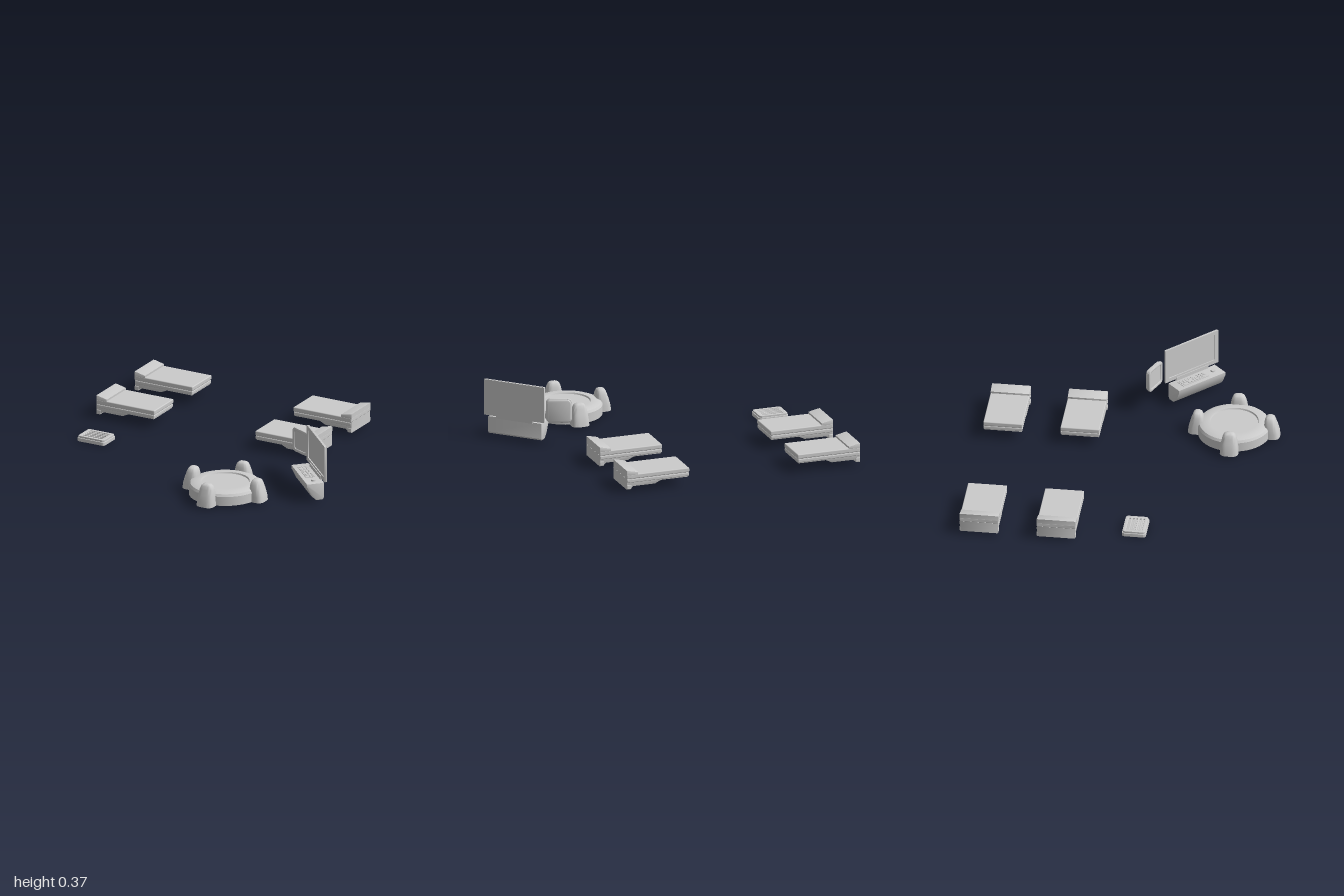
import * as THREE from 'three';
import { toCreasedNormals } from 'three/addons/utils/BufferGeometryUtils.js';
import { RoundedBoxGeometry } from 'three/addons/geometries/RoundedBoxGeometry.js';

const grey = new THREE.MeshStandardMaterial({ color: 0xcccccc });

function add(parent, name, geometry, x = 0, y = 0, z = 0) {
  const mesh = new THREE.Mesh(geometry, grey);
  mesh.name = name;
  mesh.position.set(x, y, z);
  parent.add(mesh);
  return mesh;
}

function group(parent, name, x, z, turn = 0) {
  const g = new THREE.Group();
  g.name = name;
  g.position.set(x, 0, z);
  g.rotation.y = turn;
  parent.add(g);
  return g;
}

// Rounded rectangle outline, used for shapes and holes
function roundRect(w, h, r, cx = 0, cy = 0, Type = THREE.Shape) {
  const s = new Type(), x = w / 2 - r, y = h / 2 - r;
  s.absarc(cx + x, cy + y, r, 0, Math.PI / 2);
  s.absarc(cx - x, cy + y, r, Math.PI / 2, Math.PI);
  s.absarc(cx - x, cy - y, r, Math.PI, Math.PI * 1.5);
  s.absarc(cx + x, cy - y, r, Math.PI * 1.5, Math.PI * 2);
  s.closePath();
  return s;
}

// Extrusion centred on its depth, with an optional bevel kept inside the depth
function extrude(shape, depth, bevel = 0) {
  const g = new THREE.ExtrudeGeometry(shape, {
    depth: depth - 2 * bevel, bevelEnabled: bevel > 0, bevelSize: bevel,
    bevelThickness: bevel, bevelOffset: -bevel, bevelSegments: 2, curveSegments: 8,
  });
  g.translate(0, 0, -depth / 2 + bevel);
  return toCreasedNormals(g, 0.6);
}

const polygon = (points) => new THREE.Shape(points.map(([x, y]) => new THREE.Vector2(x, y)));

// Bed with its head at local -x
function buildBed(parent, x, z, turn) {
  const bed = group(parent, 'bed', x, z, turn);
  add(bed, 'mattress', new RoundedBoxGeometry(0.415, 0.028, 0.245, 2, 0.006), 0, 0.104, 0);
  add(bed, 'bedFrame', extrude(polygon([
    [-0.207, 0.021], [-0.185, 0.021], [-0.165, 0.04], [-0.02, 0.04],
    [0.02, 0.059], [0.2, 0.059], [0.203, 0.092], [-0.207, 0.092],
  ]), 0.238, 0.003));
  add(bed, 'frameRail', new RoundedBoxGeometry(0.41, 0.022, 0.244, 2, 0.005), 0, 0.076, 0);
  add(bed, 'headFoot', new RoundedBoxGeometry(0.03, 0.03, 0.244, 2, 0.005), -0.192, 0.037, 0);
  add(bed, 'headrest', extrude(polygon([
    [-0.207, 0.112], [-0.132, 0.112], [-0.132, 0.13], [-0.195, 0.145], [-0.207, 0.145],
  ]), 0.244, 0.003));
}

// Round platform with four leaning pylons
function buildPlatform(parent) {
  const platform = group(parent, 'platform', 0.377, 0.627);
  const profile = [
    [0, 0.016], [0.226, 0.016], [0.226, 0.075], [0.217, 0.09], [0.19, 0.101],
    [0.152, 0.101], [0.148, 0.092], [0, 0.092],
  ].map(([r, y]) => new THREE.Vector2(r, y));
  add(platform, 'platformBase', toCreasedNormals(new THREE.LatheGeometry(profile, 64), 0.4));

  // Height, inner reach, outer reach and half width of each section
  const sections = [
    [0.015, 0.185, 0.288, 0.058], [0.05, 0.185, 0.284, 0.056],
    [0.09, 0.188, 0.273, 0.051], [0.122, 0.192, 0.262, 0.044],
    [0.142, 0.199, 0.255, 0.036], [0.151, 0.206, 0.248, 0.027],
    [0.155, 0.217, 0.238, 0.013],
  ];
  const n = sections.length - 1;
  const g = new THREE.CylinderGeometry(1, 1, 1, 32, n);
  const p = g.attributes.position;
  const square = (v) => Math.sign(v) * Math.abs(v) ** 0.65;
  for (let i = 0; i < p.count; i++) {
    const [y, inner, outer, half] = sections[Math.round((p.getY(i) + 0.5) * n)];
    p.setXYZ(i, (inner + outer) / 2 + square(p.getX(i)) * (outer - inner) / 2, y, square(p.getZ(i)) * half);
  }
  const pylon = toCreasedNormals(g, 1);
  for (let k = 0; k < 4; k++) add(platform, 'pylon', pylon).rotation.y = k * Math.PI / 2;
}

// Angled desk with a tall screen along its back edge
function buildConsole(parent) {
  const desk = group(parent, 'console', 0.802, 0.338, -Math.PI / 4);
  const body = extrude(polygon([
    [-0.055, 0.03], [-0.045, 0.018], [-0.005, 0.018], [0.025, 0.045],
    [0.055, 0.108], [0.055, 0.128], [-0.055, 0.13],
  ]), 0.365, 0.004);
  body.rotateY(-Math.PI / 2);
  add(desk, 'deskBody', body);

  add(desk, 'screenMount', new THREE.BoxGeometry(0.25, 0.03, 0.012), 0, 0.138, -0.053);
  add(desk, 'screenBack', new THREE.BoxGeometry(0.41, 0.232, 0.008), 0, 0.257, -0.063);
  const frame = roundRect(0.414, 0.234, 0.004);
  frame.holes.push(roundRect(0.362, 0.182, 0.004, 0, 0, THREE.Path));
  add(desk, 'screenFrame', extrude(frame, 0.008), 0, 0.257, -0.056);

  // Keypad in rows, with a few gaps, and one round knob
  add(desk, 'keypad', new THREE.BoxGeometry(0.2, 0.004, 0.058), -0.03, 0.13, 0);
  const key = new THREE.BoxGeometry(0.014, 0.006, 0.01);
  for (let row = 0; row < 3; row++) {
    for (let col = 0; col < 9; col++) {
      if ((col + 2 * row) % 7 === 5) continue;
      add(desk, 'key', key, -0.115 + col * 0.0212, 0.133, -0.018 + row * 0.018);
    }
  }
  add(desk, 'knob', new THREE.CylinderGeometry(0.014, 0.016, 0.01, 24), 0.128, 0.133, -0.003);
}

// Small rounded monitor floating beside the console
function buildMonitor(parent) {
  const monitor = group(parent, 'sideMonitor', 0.623, 0.095, -0.41);
  const frame = roundRect(0.162, 0.158, 0.028);
  frame.holes.push(roundRect(0.118, 0.118, 0.016, 0, 0, THREE.Path));
  add(monitor, 'monitorFrame', extrude(frame, 0.018, 0.005), 0, 0.23, 0.004);
  add(monitor, 'monitorScreen', extrude(roundRect(0.13, 0.13, 0.02), 0.008), 0, 0.23, 0.004);
  add(monitor, 'monitorBack', extrude(roundRect(0.154, 0.15, 0.026), 0.022, 0.01), 0, 0.23, -0.008);
}

// Low floor grille with long slots
function buildGrille(parent) {
  const grille = group(parent, 'floorGrille', -0.802, 0.165);
  const lay = (shape, depth, bevel) => extrude(shape, depth, bevel).rotateX(-Math.PI / 2);
  add(grille, 'grilleBase', lay(roundRect(0.196, 0.15, 0.018), 0.024, 0.003), 0, 0.012, 0);
  const cover = roundRect(0.186, 0.14, 0.016);
  for (let i = -2; i <= 2; i++) {
    cover.holes.push(roundRect(0.14, 0.01, 0.0045, 0, i * 0.022, THREE.Path));
  }
  add(grille, 'grilleCover', lay(cover, 0.014, 0.002), 0, 0.029, 0);
}

export function createModel() {
  const model = new THREE.Group();
  model.name = 'medicalRoom';
  for (const z of [-0.791, -0.308]) {
    buildBed(model, -0.7925, z, 0);
    buildBed(model, 0.34, z, Math.PI);
  }
  buildPlatform(model);
  buildConsole(model);
  buildMonitor(model);
  buildGrille(model);
  return model;
}
